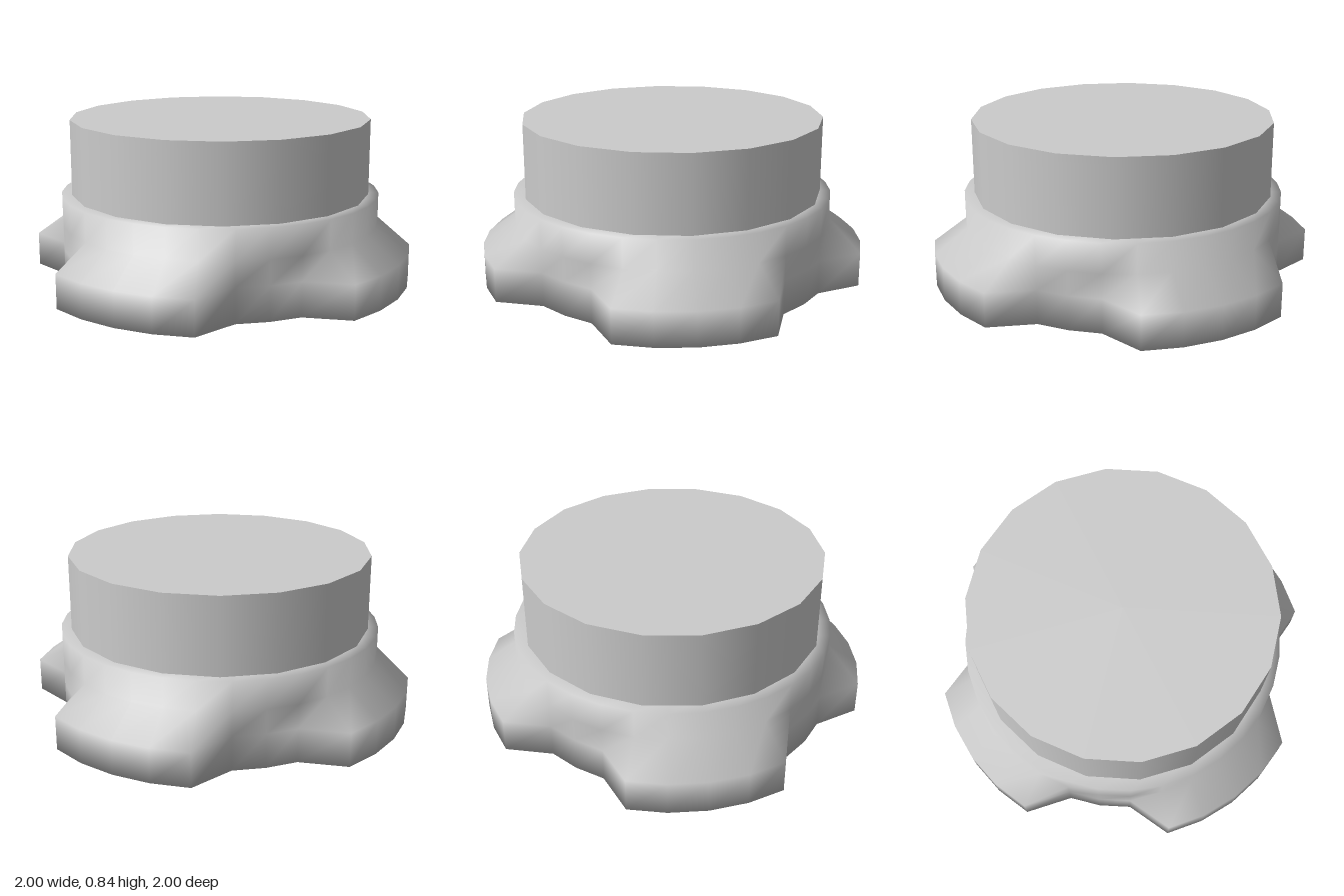
import * as THREE from 'three';

const SEGMENTS = 32;
const COLLAR = 0.83;

// Four lobes, one per axis, each five rim points wide; notches fall back to the collar.
function lobeRadius(i) {
  const k = i % 8;
  return Math.min(k, 8 - k) <= 2 ? 1 : COLLAR;
}

// Stacked rings from the bottom up, closed by centre points.
function lobedBase() {
  const rings = [
    { y: 0, r: lobeRadius },
    { y: 0.175, r: lobeRadius },
    { y: 0.3, r: () => COLLAR },
    { y: 0.45, r: () => COLLAR },
    { y: 0.45, r: () => 0.74 },
  ];
  const positions = [];
  const index = [];
  for (const { y, r } of rings) {
    for (let i = 0; i < SEGMENTS; i++) {
      const a = (i / SEGMENTS) * Math.PI * 2;
      positions.push(Math.sin(a) * r(i), y, Math.cos(a) * r(i));
    }
  }
  const bottom = positions.length / 3;
  positions.push(0, 0, 0, 0, 0.45, 0);
  const last = (rings.length - 1) * SEGMENTS;
  for (let i = 0; i < SEGMENTS; i++) {
    const j = (i + 1) % SEGMENTS;
    for (let k = 0; k < rings.length - 1; k++) {
      const low = k * SEGMENTS;
      const high = low + SEGMENTS;
      index.push(low + i, low + j, high + j, low + i, high + j, high + i);
    }
    index.push(bottom, j, i);
    index.push(bottom + 1, last + i, last + j);
  }
  const geometry = new THREE.BufferGeometry();
  geometry.setAttribute('position', new THREE.Float32BufferAttribute(positions, 3));
  geometry.setIndex(index);
  geometry.computeVertexNormals();
  return geometry;
}

export function createModel() {
  const group = new THREE.Group();
  const material = new THREE.MeshStandardMaterial({ color: 0xcccccc });

  // Flared foot with four lobes and the collar above it
  const base = new THREE.Mesh(lobedBase(), material);
  base.name = 'lobedBase';
  group.add(base);

  // Drum standing on the collar, with a corner on the x axis
  const drum = new THREE.Mesh(
    new THREE.CylinderGeometry(0.777, 0.777, 0.39, 18, 1, false, Math.PI / 2),
    material
  );
  drum.name = 'drum';
  drum.position.y = 0.645;
  group.add(drum);

  return group;
}
